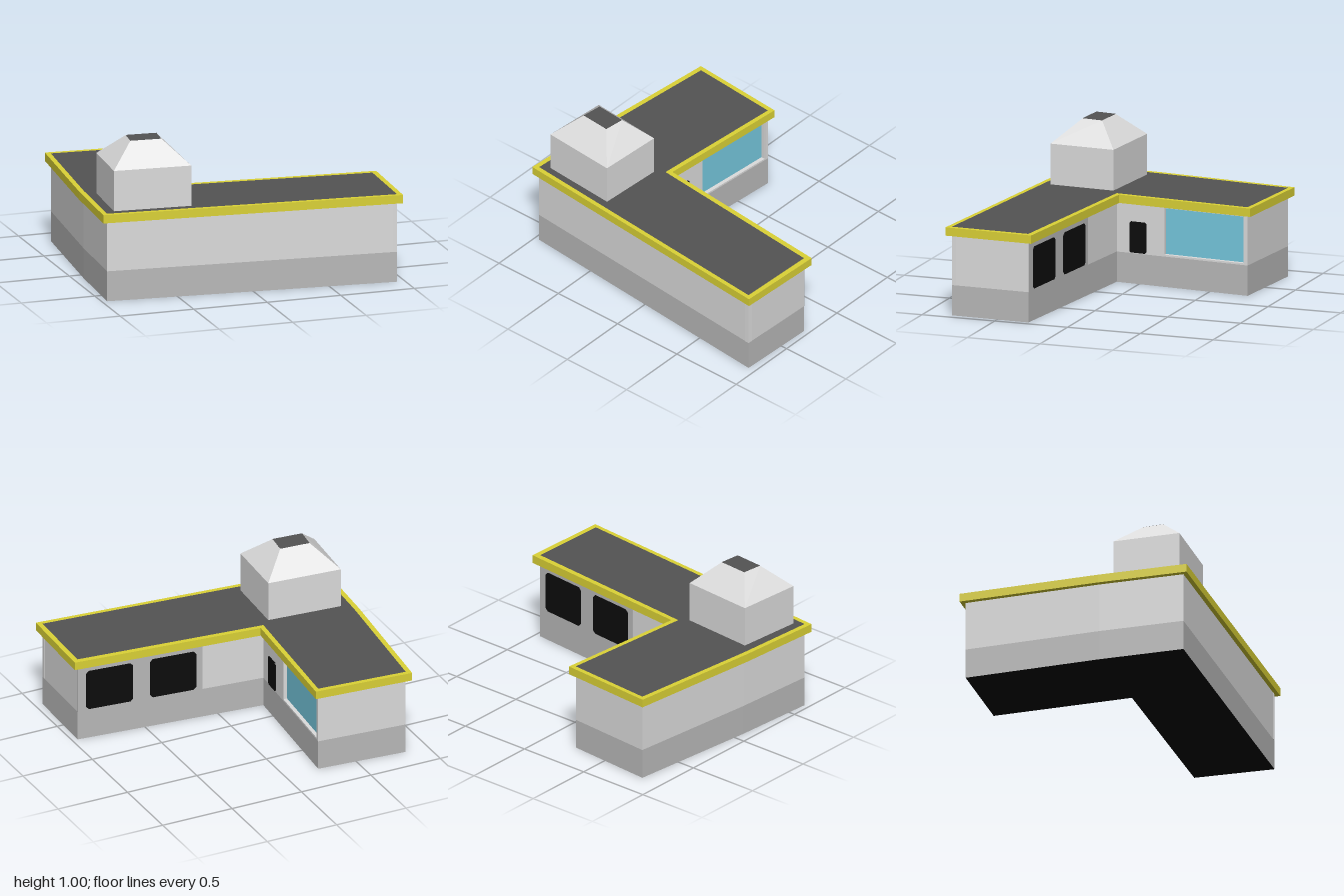
import * as THREE from 'three';

const mat = (name, color) => {
  const m = new THREE.MeshStandardMaterial({ color });
  m.name = name;
  return m;
};

// Plan outlines as [x, z], counterclockwise seen from above
const WALLS = [[-0.965, 0.642], [0.947, 0.815], [0.963, 0.283], [-0.312, 0.157], [-0.237, -0.77], [-0.842, -0.82], [-0.93, 0.08]];
const EAVES = [[-1, 0.67], [0.978, 0.847], [1, 0.25], [-0.278, 0.128], [-0.205, -0.8], [-0.872, -0.853], [-0.963, 0.08]];
const TOWER = [[-0.905, 0.602], [-0.393, 0.643], [-0.37, 0.202], [-0.872, 0.16]];
const TOWER_TOP = [[-0.744, 0.46], [-0.54, 0.477], [-0.525, 0.338], [-0.728, 0.322]];

const outline = (pts) => new THREE.Shape(pts.map(([x, y]) => new THREE.Vector2(x, y)));

// Upright prism over a plan shape, from y0 to y1
function prism(shape, y0, y1) {
  const g = new THREE.ExtrudeGeometry(shape, { depth: y1 - y0, bevelEnabled: false });
  return g.rotateX(Math.PI / 2).translate(0, y1, 0);
}

// Rectangle with optionally clipped corners
function rect(u0, u1, v0, v1, c = 0) {
  if (!c) return outline([[u0, v0], [u1, v0], [u1, v1], [u0, v1]]);
  return outline([[u0 + c, v0], [u1 - c, v0], [u1, v0 + c], [u1, v1 - c],
    [u1 - c, v1], [u0 + c, v1], [u0, v1 - c], [u0, v0 + c]]);
}

// Flat slab in a wall's own frame, between depths w0 and w1
function slab(shape, w0, w1) {
  return new THREE.ExtrudeGeometry(shape, { depth: w1 - w0, bevelEnabled: false }).translate(0, 0, w0);
}

// Sloping sides between two outlines of equal corner count
function slopes(low, y0, high, y1) {
  const pos = [];
  low.forEach((a, i) => {
    const j = (i + 1) % low.length, b = low[j], c = high[j], d = high[i];
    const A = [a[0], y0, a[1]], B = [b[0], y0, b[1]], C = [c[0], y1, c[1]], D = [d[0], y1, d[1]];
    pos.push(...A, ...B, ...C, ...A, ...C, ...D);
  });
  const g = new THREE.BufferGeometry();
  g.setAttribute('position', new THREE.Float32BufferAttribute(pos, 3));
  g.computeVertexNormals();
  return g;
}

export function createModel() {
  const model = new THREE.Group();
  model.name = 'building';
  const wall = mat('light wall', 0xdcdcdc);
  const base = mat('grey base', 0xb9b9b9);
  const trim = mat('yellow trim', 0xdbd236);
  const roof = mat('dark roof', 0x535353);
  const glass = mat('blue glass', 0x76c8de);
  const black = mat('black', 0x0c0c0c);
  const floor = mat('floor black', 0x000000);

  const add = (parent, name, geometry, material) => {
    const m = new THREE.Mesh(geometry, material);
    m.name = name;
    parent.add(m);
    return m;
  };

  // Plinth, roof and yellow edge
  const BAND = 0.2, EAVE = 0.53, TOP = 0.585;
  add(model, 'plinth', prism(outline(WALLS), 0, BAND), [floor, base]);
  add(model, 'roof', prism(outline(WALLS), EAVE, TOP), roof);
  const ring = outline(EAVES);
  ring.holes.push(outline(WALLS));
  add(model, 'roofTrim', prism(ring, EAVE, TOP), trim);

  // Upper walls, each in a frame with x along the wall and z outward
  const DEPTH = 0.03;
  const sides = WALLS.map((p, i) => {
    const q = WALLS[(i + 1) % WALLS.length];
    const dx = q[0] - p[0], dz = q[1] - p[1];
    const side = new THREE.Group();
    side.name = 'wallSide' + (i + 1);
    side.position.set(p[0], 0, p[1]);
    side.rotation.y = Math.atan2(-dz, dx);
    model.add(side);
    const shape = rect(0, Math.hypot(dx, dz), BAND, EAVE);
    if (i === 3) shape.holes.push(rect(0.338, 0.907, 0.212, 0.52));
    add(side, 'upperWall', slab(shape, -DEPTH, 0), wall);
    return side;
  });

  // Back of the long wing: grey panel with two dark windows
  add(sides[2], 'panel', slab(rect(0, 0.86, BAND, EAVE), 0, 0.003), base);
  for (const [u0, u1] of [[0.058, 0.381], [0.499, 0.816]]) {
    add(sides[2], 'window', slab(rect(u0, u1, 0.21, 0.487, 0.018), 0.002, 0.007), black);
  }

  // Inner side of the short wing: recessed glass and a small dark opening
  add(sides[3], 'glassPane', slab(rect(0.33, 0.915, 0.205, 0.527), -DEPTH - 0.005, -DEPTH + 0.004), glass);
  add(sides[3], 'smallOpening', slab(rect(0.092, 0.212, 0.205, 0.41, 0.01), 0, 0.006), black);

  // Roof tower with sloping top and dark cap
  const tower = new THREE.Group();
  tower.name = 'tower';
  model.add(tower);
  add(tower, 'towerWalls', prism(outline(TOWER), TOP - 0.02, 0.854), wall);
  add(tower, 'towerSlopes', slopes(TOWER, 0.854, TOWER_TOP, 1.003), wall);
  add(tower, 'towerCap', prism(outline(TOWER_TOP), 0.998, 1.004), roof);

  return model;
}
